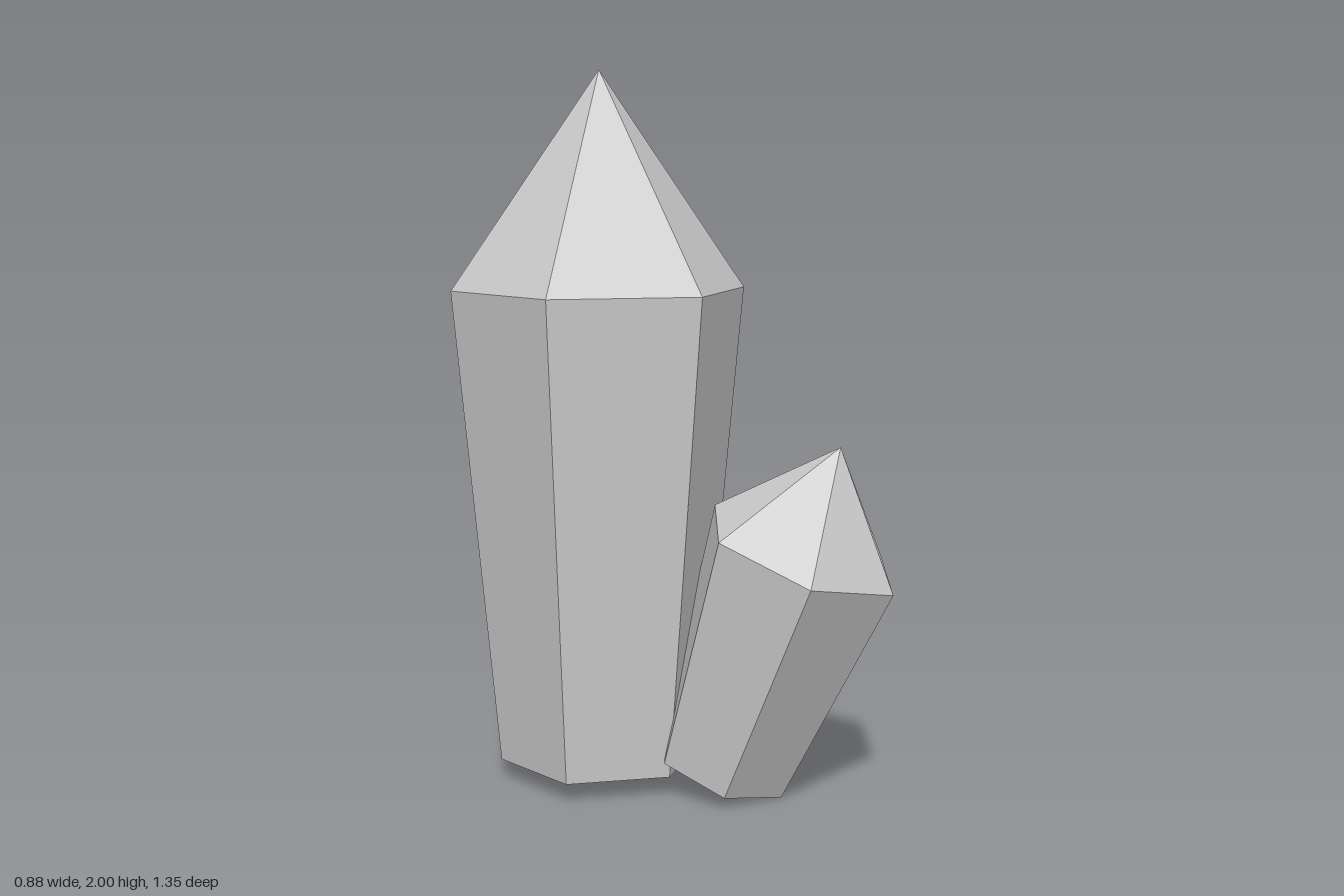
import * as THREE from 'three';

const material = new THREE.MeshStandardMaterial({ color: 0xcccccc, flatShading: true });

// Six-sided crystal: closed base, shaft widening towards the rim, pointed tip.
// foot = centre of the base, axis = growth direction, corner = direction of one edge of the hexagon.
function crystal(name, { foot, axis, corner, radius, shaft, tip }) {
  const profile = [
    [0, 0],
    [radius * 0.7, 0],
    [radius, shaft],
    [0, shaft + tip],
  ].map(([r, y]) => new THREE.Vector2(r, y));
  const mesh = new THREE.Mesh(new THREE.LatheGeometry(profile, 6), material);
  mesh.name = name;

  // Lean the crystal along its axis and twist it so a corner points the right way
  const up = new THREE.Vector3(...axis).normalize();
  const side = new THREE.Vector3().crossVectors(up, new THREE.Vector3(...corner)).normalize();
  const front = new THREE.Vector3().crossVectors(side, up);
  mesh.quaternion.setFromRotationMatrix(new THREE.Matrix4().makeBasis(side, up, front));
  mesh.position.set(...foot);
  return mesh;
}

export function createModel() {
  const group = new THREE.Group();
  group.name = 'crystalCluster';
  group.add(
    // Tall upright crystal
    crystal('mainCrystal', {
      foot: [-0.083, 0.06, -0.127], axis: [0, 1, 0], corner: [0, 0, 1],
      radius: 0.415, shaft: 1.34, tip: 0.6,
    }),
    // Medium crystal leaning forward
    crystal('frontCrystal', {
      foot: [0.082, 0.073, 0.201], axis: [0.118, 0.937, 0.329], corner: [0.275, -0.048, 0.043],
      radius: 0.282, shaft: 0.683, tip: 0.307,
    }),
    // Small crystal leaning backward
    crystal('backCrystal', {
      foot: [0.091, 0.062, -0.394], axis: [0.124, 0.939, -0.32], corner: [0.167, -0.035, -0.018],
      radius: 0.171, shaft: 0.413, tip: 0.181,
    }),
  );
  return group;
}
